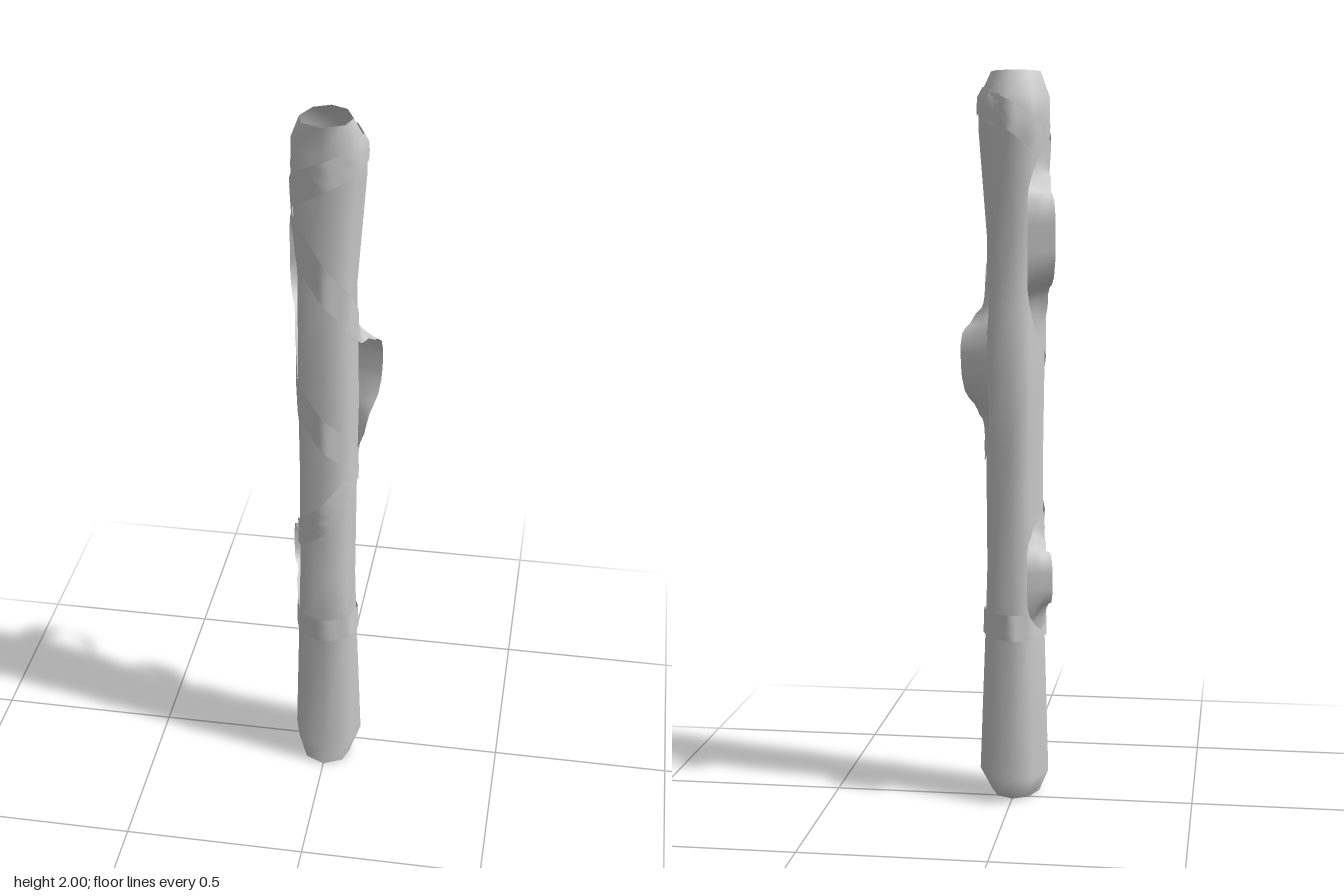
import * as THREE from 'three';

// Trunk rings: height, half width, z of the back ridge
const RINGS = [
  [0, 0.067, -0.025], [0.07, 0.096, -0.085], [0.5, 0.082, -0.055], [0.65, 0.078, -0.05],
  [1.0, 0.079, -0.075], [1.2, 0.082, -0.08], [1.36, 0.08, -0.065], [1.55, 0.077, -0.045],
  [1.85, 0.097, -0.095], [1.93, 0.095, -0.09], [2, 0.067, -0.022],
];
// Eight-sided section: fraction of half width, fraction of depth from the front ridge
const SECTION = [[0, 0], [0.8, 0.17], [1, 0.48], [0.64, 0.86], [0, 1], [-0.64, 0.86], [-1, 0.48], [-0.8, 0.17]];
const FRONT = 0.13;
const lerp = THREE.MathUtils.lerp;

// Point on the trunk: u counts corners round from the front ridge towards +x
function surface(u, y) {
  let i = 0;
  while (i < RINGS.length - 2 && y > RINGS[i + 1][0]) i++;
  const [a, b] = [RINGS[i], RINGS[i + 1]];
  const t = (y - a[0]) / (b[0] - a[0]);
  const w = lerp(a[1], b[1], t), back = lerp(a[2], b[2], t);
  const k = Math.floor(u), f = u - k;
  const p = SECTION[((k % 8) + 8) % 8], q = SECTION[(((k + 1) % 8) + 8) % 8];
  return new THREE.Vector3(w * lerp(p[0], q[0], f), y, FRONT - lerp(p[1], q[1], f) * (FRONT - back));
}

// Grid of points skinned with quads
function skin(rows, closed) {
  const n = rows[0].length, index = [];
  const geometry = new THREE.BufferGeometry().setFromPoints(rows.flat());
  for (let r = 0; r < rows.length - 1; r++) {
    for (let c = 0; c < (closed ? n : n - 1); c++) {
      const d = (c + 1) % n, a = r * n, b = a + n;
      index.push(a + c, a + d, b + d, a + c, b + d, b + c);
    }
  }
  geometry.setIndex(index);
  geometry.computeVertexNormals();
  return geometry;
}

// Flat strip along points [corner, height, lift]; lift 1 swings it out into a loop behind
function ribbonGeometry(path) {
  const PITCH = 0.075, HALF = 0.036, STEPS = 4;
  const curve = new THREE.CatmullRomCurve3(
    path.map(([u, y, lift = 0]) => new THREE.Vector3(u * PITCH, y, lift)), false, 'centripetal');
  const rows = [], count = (path.length - 1) * STEPS;
  for (let i = 0; i <= count; i++) {
    const p = curve.getPoint(i / count), t = curve.getTangent(i / count);
    const len = Math.hypot(t.x, t.y) || 1;
    const across = [-t.y / len * HALF, t.x / len * HALF];
    const side = Math.sign(surface(p.x / PITCH, p.y).x);
    const lift = THREE.MathUtils.clamp(p.z, 0, 1);
    rows.push([1, 0.33, -0.33, -1].map((s) => {
      const da = across[0] * s, y = p.y + across[1] * s;
      const point = surface((p.x + da) / PITCH, y);
      // hug the trunk just above its surface
      point.x *= 1.07;
      point.z = Math.min(FRONT + 0.002, 0.03 + (point.z - 0.03) * 1.07);
      const loop = new THREE.Vector3(side * 0.09 - da, y, -0.12 - side * da * 0.2);
      return point.lerp(loop, lift);
    }));
  }
  return skin(rows, false);
}

export function createModel() {
  const model = new THREE.Group();
  const material = new THREE.MeshStandardMaterial({ color: 0xcccccc, side: THREE.DoubleSide });
  const add = (name, geometry) => {
    const mesh = new THREE.Mesh(geometry, material);
    mesh.name = name;
    model.add(mesh);
  };

  // Hollow trunk, open at both ends
  add('trunk', skin(RINGS.map(([y]) => SECTION.map((_, u) => surface(u, y))), true));

  // Strand over the back, one loop on each side, ending in the low band
  add('longRibbon', ribbonGeometry([
    [2.5, 1.92], [4, 1.88], [5, 1.83], [6, 1.76], [7, 1.68], [8, 1.58], [9, 1.5], [10, 1.42],
    [10.6, 1.36, 0.5], [10.8, 1.28, 1], [10.8, 1.19, 0.95], [10.5, 1.08, 0.3], [10, 1.02],
    [9, 0.95], [8, 0.87], [7, 0.81], [6, 0.77], [5.5, 0.74, 0.3], [5.3, 0.68, 0.85],
    [5.3, 0.6, 0.85], [5.6, 0.54, 0.4], [6, 0.5],
  ]));

  // Strand over the front with the upper loop on the other side
  add('shortRibbon', ribbonGeometry([
    [3.5, 1.9], [2.5, 1.92], [2, 1.92], [1, 1.9], [0, 1.87], [-1, 1.82], [-2, 1.77],
    [-2.5, 1.71, 0.4], [-2.7, 1.62, 1], [-2.7, 1.5, 1], [-2.6, 1.4, 0.4],
    [-2, 1.3], [-1, 1.22], [0, 1.14], [1, 1.07], [2, 1.0], [2.4, 0.97],
  ]));

  // Low band wrapped once round the trunk
  add('lowBand', ribbonGeometry(Array.from({ length: 9 }, (_, i) => [6 + i, 0.495])));
  return model;
}
